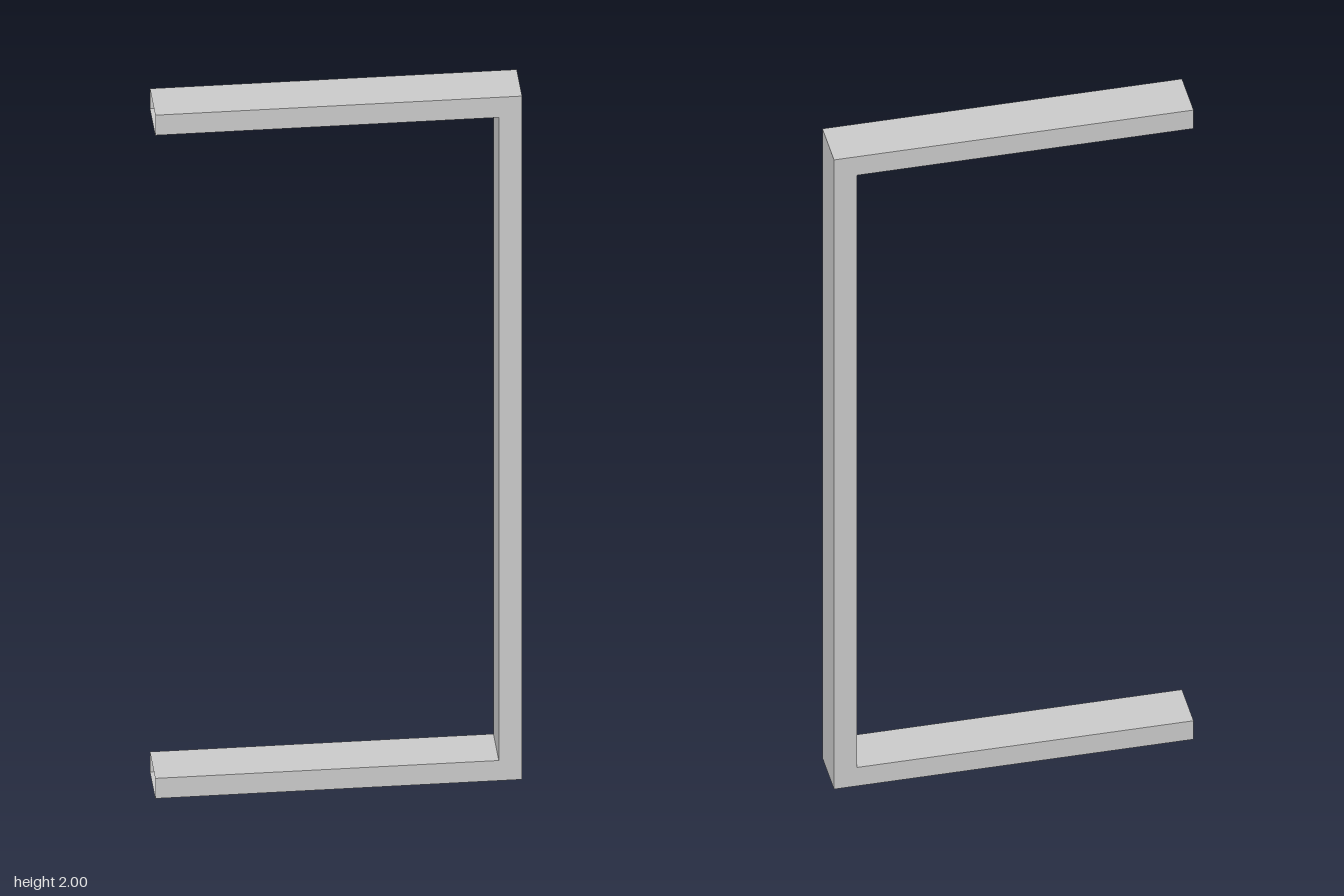
import * as THREE from 'three';

const HALF_WIDTH = 0.464, HEIGHT = 2, HALF_DEPTH = 0.066, WALL = 0.059;

// Hollow rectangular bar with open ends, between two mitred cross-sections
function bar(name, start, end, material) {
  const positions = [];
  for (let i = 0; i < 4; i++) {
    const j = (i + 1) % 4;
    const [a, b, c, d] = [start[i], end[i], end[j], start[j]];
    for (const p of [a, b, c, a, c, d]) positions.push(...p);
  }
  const geometry = new THREE.BufferGeometry();
  geometry.setAttribute('position', new THREE.Float32BufferAttribute(positions, 3));
  geometry.computeVertexNormals();
  const mesh = new THREE.Mesh(geometry, material);
  mesh.name = name;
  return mesh;
}

// Cross-section from an outer and an inner point of the frame outline
const section = ([ox, oy], [ix, iy]) => [
  [ox, oy, HALF_DEPTH], [ix, iy, HALF_DEPTH],
  [ix, iy, -HALF_DEPTH], [ox, oy, -HALF_DEPTH],
];

export function createModel() {
  const group = new THREE.Group();
  group.name = 'bracketFrame';
  const material = new THREE.MeshStandardMaterial({
    color: 0xcccccc, flatShading: true, side: THREE.DoubleSide,
  });

  // Open end, two mitred corners, open end
  const top = HEIGHT - WALL, inner = HALF_WIDTH - WALL;
  const sections = [
    section([-HALF_WIDTH, 0], [-HALF_WIDTH, WALL]),
    section([HALF_WIDTH, 0], [inner, WALL]),
    section([HALF_WIDTH, HEIGHT], [inner, top]),
    section([-HALF_WIDTH, HEIGHT], [-HALF_WIDTH, top]),
  ];

  ['lowerArm', 'upright', 'upperArm'].forEach((name, i) =>
    group.add(bar(name, sections[i], sections[i + 1], material)));
  return group;
}
